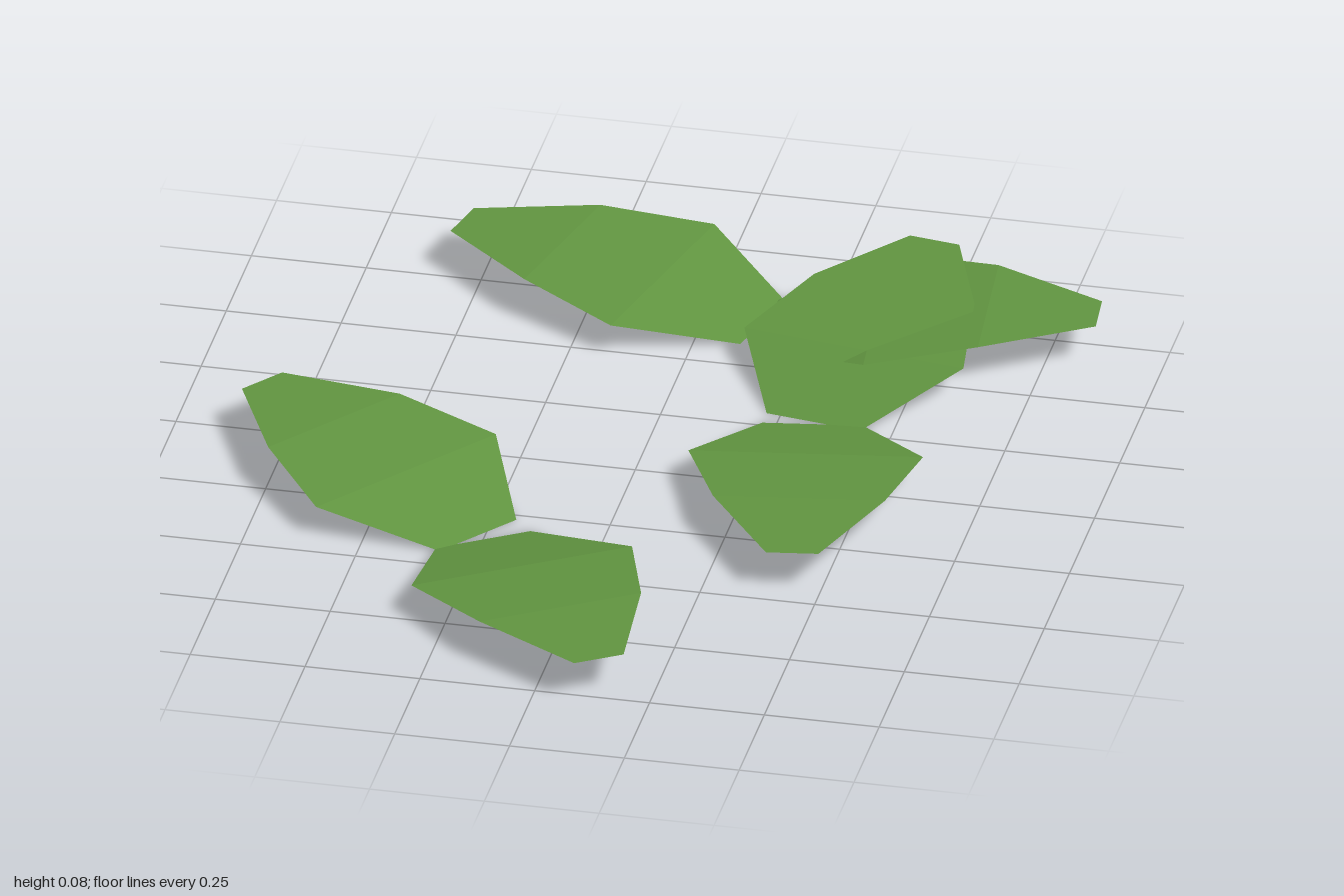
import * as THREE from 'three';

// Leaf cross-rows from base to tip: [share of length, half width, height]
const ROWS = [[0, 0.107, 0], [0.333, 0.25, 0.058], [0.667, 0.183, 0.08], [1, 0.056, 0.077]];
const LENGTH = 0.712;

// Each leaf: [name, base x, base z, direction x, direction z]
const LEAVES = [
  ['backRightLeaf', 0.125, -0.695, -0.69, -0.17],
  ['backLeaf', 0.325, -0.288, 0.11, -0.705],
  ['backLeftLeaf', 0.137, -0.68, 0.713, -0.068],
  ['middleLeftLeaf', 0.325, -0.278, 0.11, 0.705],
  ['middleRightLeaf', -0.265, 0.355, -0.56, -0.43],
  ['frontLeaf', -0.25, 0.37, 0.38, 0.595],
];

// Arched strip growing along +z
function leafGeometry() {
  const points = [], index = [];
  ROWS.forEach(([t, w, y], i) => {
    points.push(-w, y, t * LENGTH, w, y, t * LENGTH);
    if (i > 0) {
      const a = 2 * i - 2;
      index.push(a, a + 2, a + 1, a + 1, a + 2, a + 3);
    }
  });
  const g = new THREE.BufferGeometry();
  g.setAttribute('position', new THREE.Float32BufferAttribute(points, 3));
  g.setIndex(index);
  const flat = g.toNonIndexed();
  flat.computeVertexNormals();
  return flat;
}

export function createModel() {
  const group = new THREE.Group();
  group.name = 'scatteredLeaves';
  const green = new THREE.MeshStandardMaterial({ color: 0x629641, flatShading: true, side: THREE.DoubleSide });
  green.name = 'leafGreen';
  const geometry = leafGeometry();
  LEAVES.forEach(([name, x, z, dx, dz]) => {
    const leaf = new THREE.Mesh(geometry, green);
    leaf.name = name;
    leaf.position.set(x, 0, z);
    leaf.rotation.y = Math.atan2(dx, dz);
    group.add(leaf);
  });
  return group;
}
